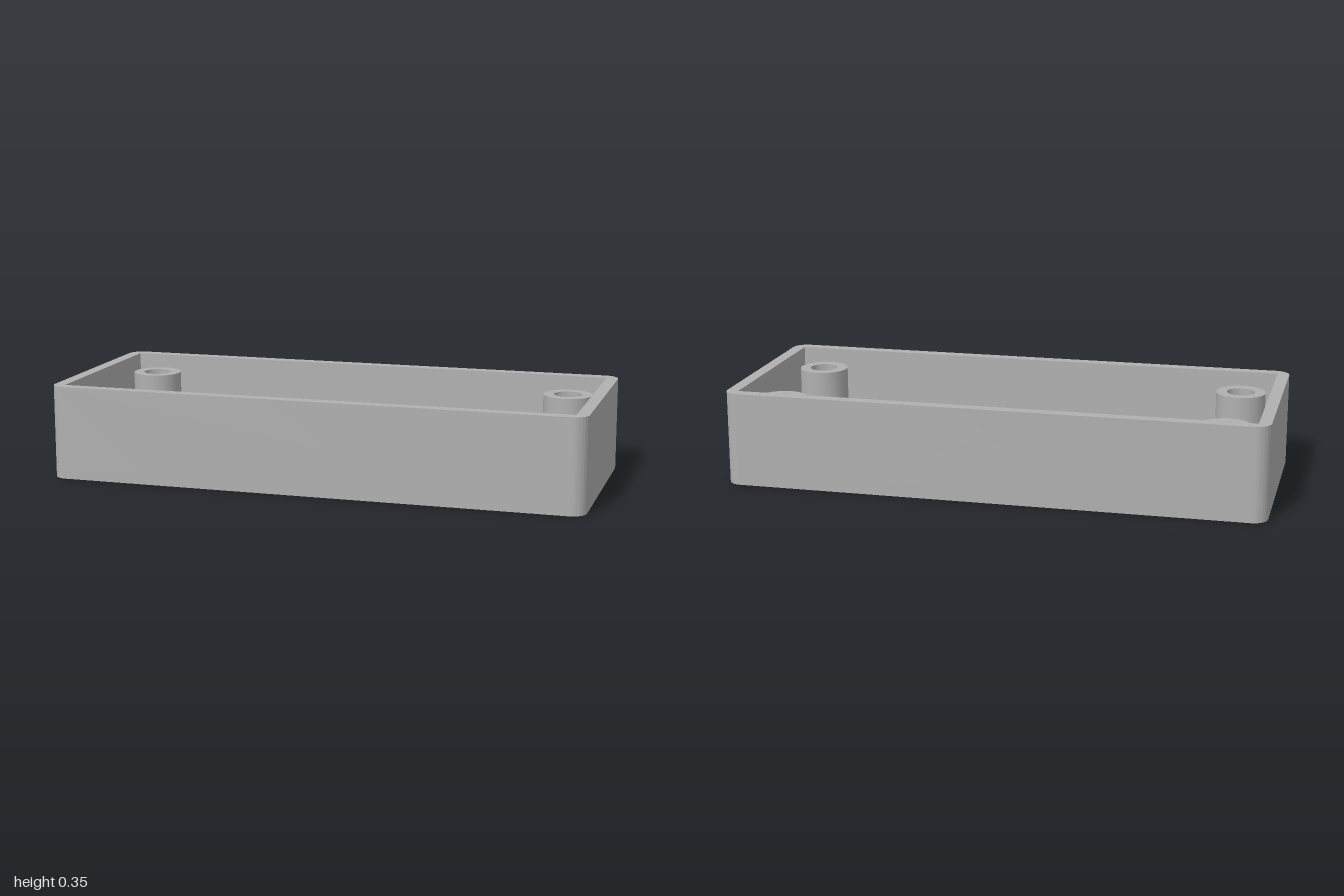
import * as THREE from 'three';
import { toCreasedNormals } from 'three/addons/utils/BufferGeometryUtils.js';

const W = 1, D = 0.404;            // outer half sizes
const WALL = 0.045, FLOOR = 0.045; // thicknesses
const HEIGHT = 0.348, POST_TOP = 0.3;
const POST_R = 0.093, HOLE_R = 0.053;
const POSTS = [[-0.83, -0.237], [0.83, -0.237], [-0.83, 0.237], [0.83, 0.237]];

function roundedRect(w, d, r) {
  const s = new THREE.Shape();
  s.moveTo(w, -d + r);
  s.absarc(w - r, d - r, r, 0, Math.PI / 2);
  s.absarc(-w + r, d - r, r, Math.PI / 2, Math.PI);
  s.absarc(-w + r, -d + r, r, Math.PI, Math.PI * 1.5);
  s.absarc(w - r, -d + r, r, Math.PI * 1.5, Math.PI * 2);
  return s;
}

function rectHole(x0, y0, x1, y1) {
  return new THREE.Path([[x0, y0], [x0, y1], [x1, y1], [x1, y0]].map(p => new THREE.Vector2(...p)));
}

const circle = (Type, x, y, r) => new Type().absarc(x, y, r, 0, Math.PI * 2);

export function createModel() {
  const model = new THREE.Group();
  model.name = 'enclosureTray';
  const plastic = new THREE.MeshStandardMaterial({ color: 0xb0b0b0 });
  plastic.name = 'grey plastic';

  // Extrudes a plan outline upwards from y0 to y1
  function slab(name, shape, y0, y1) {
    const flat = new THREE.ExtrudeGeometry(shape, { depth: y1 - y0, bevelEnabled: false, curveSegments: 16 });
    flat.rotateX(-Math.PI / 2).translate(0, y0, 0);
    const mesh = new THREE.Mesh(toCreasedNormals(flat, 0.6), plastic);
    mesh.name = name;
    model.add(mesh);
  }

  // Floor with the window and screw holes
  const floor = roundedRect(W, D, 0.055);
  floor.holes.push(rectHole(-0.18, -0.05, 0.18, 0.147));
  for (const [x, z] of POSTS) floor.holes.push(circle(THREE.Path, x, -z, HOLE_R));
  slab('floor', floor, 0, FLOOR);

  // Outer wall, rounded outside and square inside
  const wall = roundedRect(W, D, 0.055);
  wall.holes.push(rectHole(-W + WALL, -D + WALL, W - WALL, D - WALL));
  slab('wall', wall, FLOOR, HEIGHT);

  // Hollow screw posts
  for (const [x, z] of POSTS) {
    const post = circle(THREE.Shape, x, -z, POST_R);
    post.holes.push(circle(THREE.Path, x, -z, HOLE_R));
    slab('screwPost', post, FLOOR, POST_TOP);
  }
  return model;
}
